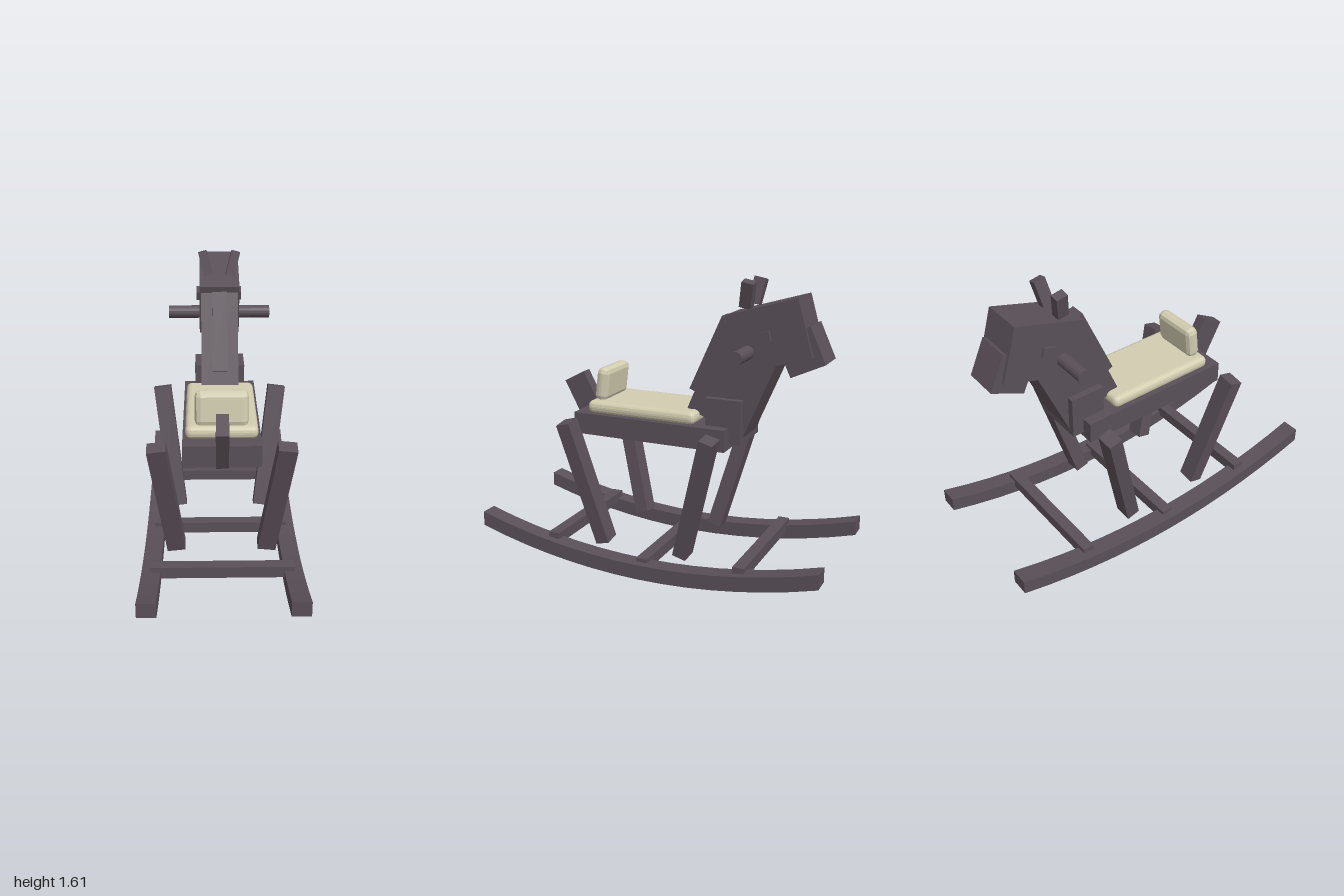
import * as THREE from 'three';
import { RoundedBoxGeometry } from 'three/addons/geometries/RoundedBoxGeometry.js';

export function createModel() {
  const wood = new THREE.MeshStandardMaterial({ color: 0x5a5058, flatShading: true });
  wood.name = 'dark wood';
  const cream = new THREE.MeshStandardMaterial({ color: 0xd2ccb0, flatShading: true });
  cream.name = 'cream padding';

  const model = new THREE.Group();
  model.name = 'rockingHorse';

  const add = (name, geometry, material, pos, rot = [0, 0, 0]) => {
    const mesh = new THREE.Mesh(geometry, material);
    mesh.name = name;
    mesh.position.set(...pos);
    mesh.rotation.set(...rot);
    model.add(mesh);
    return mesh;
  };
  const box = (name, size, pos, rot) =>
    add(name, new THREE.BoxGeometry(...size), wood, pos, rot);

  // Curved rocker profile: a shallow arc with vertical ends
  const R = 3.52, steps = 14;
  const arcY = (z) => R - Math.sqrt(R * R - z * z);
  const profile = new THREE.Shape();
  for (let i = 0; i <= steps; i++) {
    const z = -1 + (2 * i) / steps;
    if (i === 0) profile.moveTo(z, arcY(z));
    else profile.lineTo(z, arcY(z));
  }
  for (let i = steps; i >= 0; i--) {
    const z = -1 + (2 * i) / steps;
    profile.lineTo(z, arcY(z) + 0.083);
  }
  const rockerGeo = new THREE.ExtrudeGeometry(profile, { depth: 0.1, bevelEnabled: false });
  rockerGeo.translate(0, 0, -0.05);
  rockerGeo.rotateY(-Math.PI / 2);

  for (const [side, s] of [['left', 1], ['right', -1]]) {
    add(side + 'Rocker', rockerGeo, wood, [s * 0.38, 0, 0]);
    // Splayed legs
    box(side + 'TailLeg', [0.1, 0.727, 0.08], [s * 0.295, 0.463, 0.382], [0.26, 0, -s * 0.122]);
    box(side + 'HeadLeg', [0.1, 0.727, 0.08], [s * 0.295, 0.463, -0.278], [-0.26, 0, -s * 0.122]);
    // Ears and eyes
    box(side + 'Ear', [0.05, 0.14, 0.065], [s * 0.079, 1.533, -0.468], [-0.18, 0, -s * 0.25]);
    box(side + 'Eye', [0.03, 0.052, 0.07], [s * 0.117, 1.326, -0.575], [0.28, 0, 0]);
  }

  // Crossbars between the rockers
  for (const [z, y] of [[0.555, 0.127], [0, 0.072], [-0.56, 0.127]])
    box('crossbar', [0.77, 0.065, 0.065], [0, y, z]);

  // Seat
  box('seatBoard', [0.41, 0.12, 0.905], [0, 0.77, 0.052]);
  add('seatCushion', new RoundedBoxGeometry(0.38, 0.07, 0.65, 2, 0.03), cream, [0, 0.865, 0.105]);
  add('backrest', new RoundedBoxGeometry(0.28, 0.19, 0.075, 1, 0.03), cream,
    [0, 0.985, 0.368], [-0.12, 0, 0]);
  box('tail', [0.065, 0.275, 0.14], [0, 0.872, 0.536], [0.49, 0, 0]);

  // Neck and head
  box('neckMount', [0.285, 0.24, 0.2], [0, 0.86, -0.366]);
  box('neck', [0.21, 0.527, 0.345], [0, 1.08, -0.409], [-0.4, 0, 0]);
  box('mane', [0.084, 0.45, 0.08], [0, 1.185, -0.259], [-0.42, 0, 0]);
  box('head', [0.23, 0.31, 0.406], [0, 1.329, -0.594], [0.28, 0, 0]);
  box('muzzle', [0.19, 0.208, 0.2], [0, 1.257, -0.762], [0.43, 0, 0]);

  // Hand grip through the head
  add('handle', new THREE.CylinderGeometry(0.037, 0.037, 0.59, 16), wood,
    [0, 1.238, -0.487], [0, 0, Math.PI / 2]);

  return model;
}
